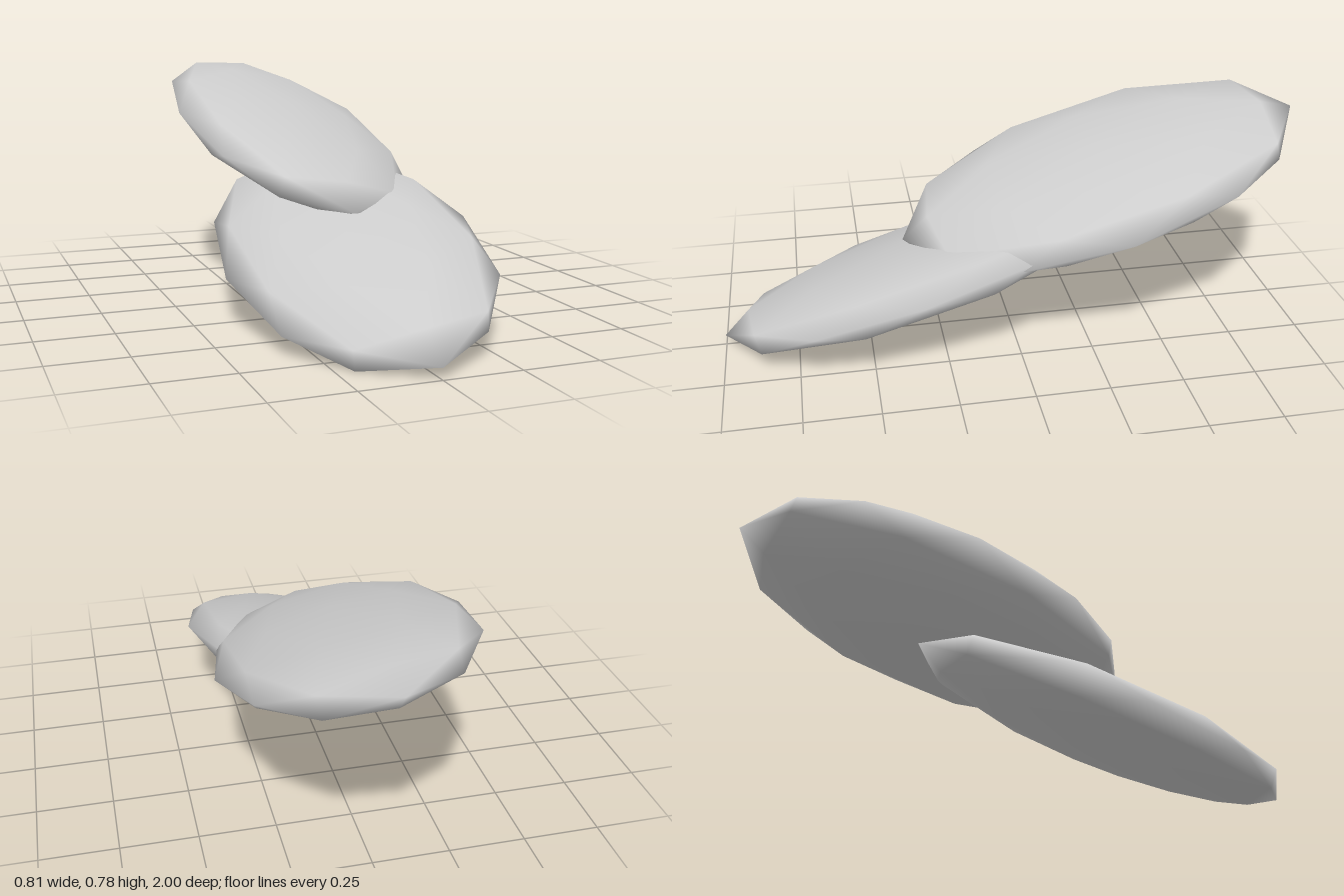
import * as THREE from 'three';

export function createModel() {
  const group = new THREE.Group();
  const material = new THREE.MeshStandardMaterial({ color: 0xcccccc });
  material.name = 'light grey';

  // One low-poly ball, flattened into a thin oval pad
  const ball = new THREE.IcosahedronGeometry(1, 1);
  const pitch = THREE.MathUtils.degToRad(16);
  const roll = THREE.MathUtils.degToRad(11.5);

  // Two pads climbing backwards, rolled in opposite directions
  for (const [name, side] of [['upperPad', 1], ['lowerPad', -1]]) {
    const pad = new THREE.Mesh(ball, material);
    pad.name = name;
    pad.scale.set(0.413, 0.116, 0.713);
    pad.rotation.set(pitch, 0, -side * roll);
    pad.position.set(0, 0.39 + side * 0.158, -side * 0.315);
    group.add(pad);
  }
  return group;
}
